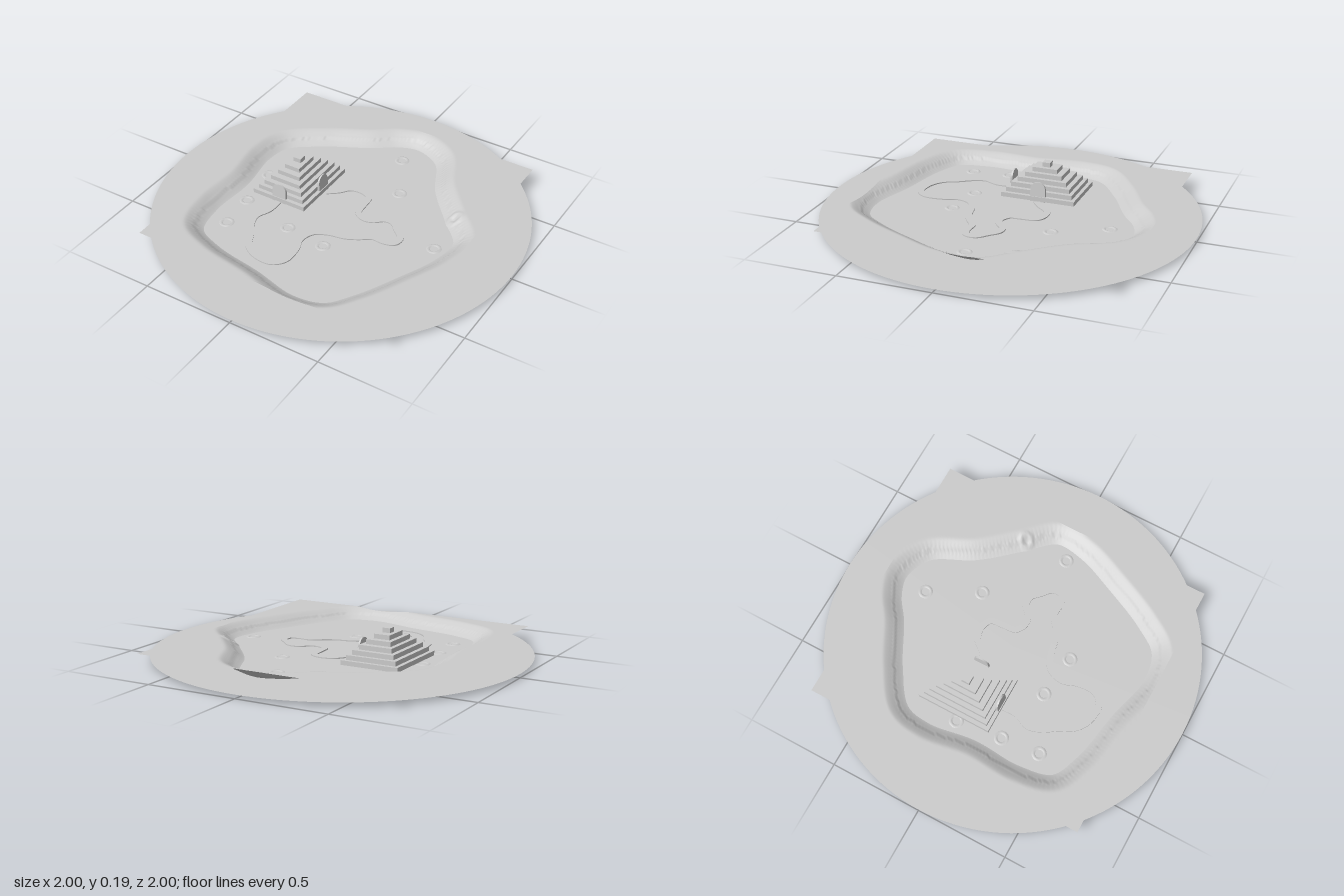
import * as THREE from 'three';

const grey = new THREE.MeshStandardMaterial({ color: 0xcccccc, side: THREE.DoubleSide });
const FLOOR = 0.016, RIM = 0.078;
const CX = -0.318, CZ = -0.09; // pyramid centre

function add(parent, geometry, name) {
  const mesh = new THREE.Mesh(geometry, grey);
  mesh.name = name;
  parent.add(mesh);
  return mesh;
}

function curveFrom(points, closed) {
  return new THREE.CatmullRomCurve3(points.map(([x, z]) => new THREE.Vector3(x, 0, z)), closed);
}

// Square of land with a wavy basin sunk into it
function terrainGeometry() {
  const edge = curveFrom([
    [0.08, -0.735], [0.25, -0.66], [0.38, -0.43], [0.54, -0.24], [0.675, -0.08],
    [0.66, 0.1], [0.57, 0.32], [0.45, 0.56], [0.34, 0.7], [0.16, 0.74], [-0.1, 0.68],
    [-0.38, 0.625], [-0.55, 0.54], [-0.6, 0.34], [-0.59, 0.08], [-0.625, -0.18],
    [-0.59, -0.34], [-0.4, -0.49], [-0.18, -0.61], [-0.05, -0.7],
  ], true).getSpacedPoints(220);
  const craters = [
    [0.05, -0.56], [0.19, -0.29], [0.56, -0.22], [-0.5, -0.06], [0.57, 0.02],
    [-0.47, 0.19], [-0.45, 0.4], [-0.155, 0.27], [0.08, 0.3],
  ];
  // Distance to the basin edge, positive outside
  const distance = (x, z) => {
    let best = Infinity, inside = false;
    for (let i = 0; i < edge.length - 1; i++) {
      const a = edge[i], b = edge[i + 1];
      best = Math.min(best, Math.hypot(x - a.x, z - a.z));
      if ((a.z > z) !== (b.z > z) && x < a.x + (b.x - a.x) * (z - a.z) / (b.z - a.z)) inside = !inside;
    }
    return inside ? -best : best;
  };
  const geo = new THREE.PlaneGeometry(1.46, 1.555, 160, 160);
  geo.rotateX(-Math.PI / 2);
  geo.translate(0, 0, -0.0125);
  const pos = geo.attributes.position;
  for (let i = 0; i < pos.count; i++) {
    const x = pos.getX(i), z = pos.getZ(i);
    const t = THREE.MathUtils.clamp(distance(x, z) / 0.11 + 0.5, 0, 1);
    let y = FLOOR + (RIM - FLOOR) * (0.5 * t + 0.5 * t * t * (3 - 2 * t));
    for (const [cx, cz] of craters) {
      const r = Math.hypot(x - cx, z - cz) / 0.03;
      y += 0.009 * Math.exp(-(((r - 1) / 0.35) ** 2)) - 0.004 * Math.exp(-r * r * 4);
    }
    pos.setY(i, y);
  }
  geo.computeVertexNormals();
  return geo;
}

// Sweeps a flat raised strip along a curve
function stripGeometry(curve, halfWidth, bottom, top, steps) {
  const section = [[-1, bottom], [-1, top], [-1, top], [1, top], [1, top], [1, bottom]];
  const n = section.length, verts = [], index = [];
  for (let i = 0; i <= steps; i++) {
    const p = curve.getPointAt(i / steps), t = curve.getTangentAt(i / steps);
    for (const [s, y] of section) verts.push(p.x - t.z * s * halfWidth, y, p.z + t.x * s * halfWidth);
    if (i === steps) continue;
    for (let k = 0; k < n; k += 2) {
      const a = i * n + k, b = a + 1, c = a + n, d = c + 1;
      index.push(a, c, b, b, c, d);
    }
  }
  const geo = new THREE.BufferGeometry();
  geo.setAttribute('position', new THREE.Float32BufferAttribute(verts, 3));
  geo.setIndex(index);
  geo.computeVertexNormals();
  return geo;
}

// Round-topped doorway slab, thinner towards the top
function doorwayGeometry() {
  const w = 0.042, h = 0.128, base = 0.01;
  const shape = new THREE.Shape();
  shape.moveTo(-w, base);
  shape.lineTo(w, base);
  shape.lineTo(w, h - w);
  shape.absarc(0, h - w, w, 0, Math.PI, false);
  shape.closePath();
  const geo = new THREE.ExtrudeGeometry(shape, { depth: 0.02, bevelEnabled: false, curveSegments: 16 });
  const pos = geo.attributes.position;
  for (let i = 0; i < pos.count; i++) pos.setZ(i, pos.getZ(i) * (1 - 0.6 * pos.getY(i) / h));
  geo.computeVertexNormals();
  return geo;
}

export function createModel() {
  const model = new THREE.Group();
  model.name = 'pyramidBasin';

  // Flat round ground
  const ground = add(model, new THREE.CircleGeometry(1, 128).rotateX(-Math.PI / 2), 'groundDisc');
  ground.position.y = 0.02;

  add(model, terrainGeometry(), 'basinTerrain');

  // Stepped pyramid
  const pyramid = new THREE.Group();
  pyramid.name = 'pyramid';
  pyramid.position.set(CX, 0, CZ);
  model.add(pyramid);
  const tiers = [
    [0.17, 0.218], [0.16, 0.206], [0.139, 0.186], [0.116, 0.165],
    [0.092, 0.138], [0.069, 0.105], [0.045, 0.07], [0.022, 0.022],
  ];
  const step = 0.195 / tiers.length;
  tiers.forEach(([hx, hz], i) => {
    const height = i === 0 ? 0.019 : step;
    const tier = add(pyramid, new THREE.BoxGeometry(hx * 2, height, hz * 2), `tier${i + 1}`);
    tier.position.y = i === 0 ? height / 2 : (i + 0.5) * step;
  });

  // Doorways on the front and left faces
  const front = add(pyramid, doorwayGeometry(), 'frontDoorway');
  front.position.z = 0.186;
  const side = add(pyramid, doorwayGeometry(), 'sideDoorway');
  side.position.x = 0.14;
  side.rotation.y = Math.PI / 2;

  // Winding path from one doorway to the other
  const path = curveFrom([
    [-0.15, -0.09], [-0.1, -0.13], [-0.05, -0.185], [0.02, -0.195], [0.07, -0.17],
    [0.08, -0.1], [0.09, -0.03], [0.14, 0.0], [0.19, -0.01], [0.24, -0.05], [0.29, -0.05],
    [0.335, -0.01], [0.385, 0.04], [0.38, 0.09], [0.33, 0.11], [0.26, 0.11], [0.2, 0.15],
    [0.14, 0.18], [0.05, 0.2], [-0.02, 0.24], [-0.045, 0.32], [-0.02, 0.4], [-0.02, 0.5],
    [-0.07, 0.55], [-0.17, 0.545], [-0.24, 0.5], [-0.285, 0.42], [-0.33, 0.35],
    [-0.35, 0.28], [-0.32, 0.2], [-0.32, 0.11],
  ], false);
  add(model, stripGeometry(path, 0.017, 0.014, 0.026, 260), 'path');

  return model;
}
